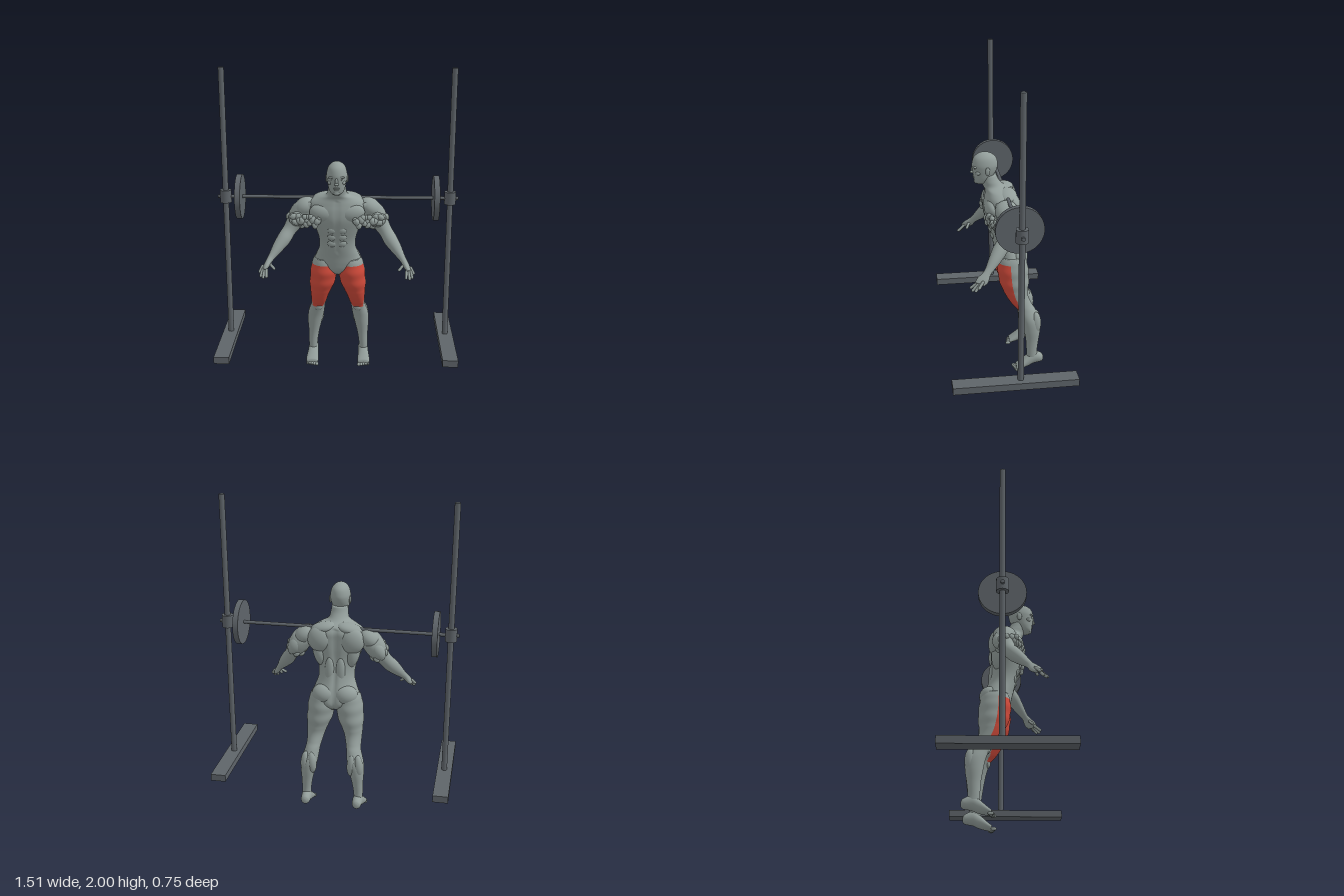
import * as THREE from 'three';

const V = (x, y, z) => new THREE.Vector3(x, y, z);

export function createModel() {
  const mat = (name, color) => Object.assign(new THREE.MeshStandardMaterial({ color }), { name });
  const skin = mat('greySkin', 0x939e9b);
  const red = mat('redMuscle', 0xd04a3a);
  const steel = mat('darkSteel', 0x5e6469);

  const model = new THREE.Group();
  model.name = 'squatMachine';

  const add = (parent, name, geo, material, pos = [0, 0, 0]) => {
    const m = new THREE.Mesh(geo, material);
    m.name = name;
    m.position.set(...pos);
    parent.add(m);
    return m;
  };
  const group = (parent, name) => {
    const g = new THREE.Group();
    g.name = name;
    parent.add(g);
    return g;
  };
  const ball = (parent, name, pos, size, seg = 20, rotZ = 0) => {
    const m = add(parent, name, new THREE.SphereGeometry(1, seg, Math.ceil(seg * 0.7)), skin, pos);
    m.scale.set(...size);
    m.rotation.z = rotZ;
    return m;
  };

  // Smooth skin through rows [x, y, z, ru, rv]; rows run along u x v.
  // bump(angle, centre) scales the radius, accent(angle, centre) picks material 1.
  const loft = (rows, u, v, { steps = 50, seg = 36, bump = () => 1, accent = () => false } = {}) => {
    const path = new THREE.CatmullRomCurve3(rows.map(r => V(r[0], r[1], r[2])), false, 'catmullrom');
    const size = new THREE.CatmullRomCurve3(rows.map(r => V(r[3], r[4], 0)), false, 'catmullrom');
    const pos = [], plain = [], marked = [];
    for (let i = 0; i <= steps; i++) {
      const c = path.getPoint(i / steps), s = size.getPoint(i / steps);
      for (let j = 0; j < seg; j++) {
        const a = (j / seg) * Math.PI * 2, k = bump(a, c);
        const p = c.clone().addScaledVector(u, Math.max(s.x, 0.002) * k * Math.cos(a))
          .addScaledVector(v, Math.max(s.y, 0.002) * k * Math.sin(a));
        pos.push(p.x, p.y, p.z);
        if (i === steps) continue;
        const n = (j + 1) % seg, A = i * seg + j, B = i * seg + n;
        const mid = path.getPoint((i + 0.5) / steps);
        (accent(a + Math.PI / seg, mid) ? marked : plain).push(A, B, A + seg, B, B + seg, A + seg);
      }
    }
    // end caps
    const first = path.getPoint(0), last = path.getPoint(1), k = pos.length / 3;
    pos.push(first.x, first.y, first.z, last.x, last.y, last.z);
    for (let j = 0; j < seg; j++) {
      const n = (j + 1) % seg, e = steps * seg;
      plain.push(k, n, j, k + 1, e + j, e + n);
    }
    const g = new THREE.BufferGeometry();
    g.setAttribute('position', new THREE.Float32BufferAttribute(pos, 3));
    g.setIndex([...plain, ...marked]);
    g.addGroup(0, plain.length, 0);
    g.addGroup(plain.length, marked.length, 1);
    g.computeVertexNormals();
    return g;
  };
  const X = V(1, 0, 0), Y = V(0, 1, 0), Z = V(0, 0, 1);
  const central = rows => rows.map(([y, z, rx, rz]) => [0, y, z, rx, rz]);

  // Machine frame
  const frame = group(model, 'machineFrame');
  const cyl = (r, h, seg = 32) => new THREE.CylinderGeometry(r, r, h, seg);
  for (const s of [1, -1]) {
    add(frame, 'baseBeam', new THREE.BoxGeometry(0.096, 0.044, 0.75), steel, [s * 0.707, 0.248, 0]);
    add(frame, 'post', cyl(0.018, 1.74, 24), steel, [s * 0.705, 1.13, -0.03]);
    add(frame, 'slidingCollar', cyl(0.036, 0.08), steel, [s * 0.705, 1.195, -0.03]);
    add(frame, 'weightPlate', cyl(0.14, 0.034, 56), steel, [s * 0.615, 1.193, -0.03]).rotation.z = Math.PI / 2;
  }
  add(frame, 'bar', cyl(0.011, 1.51, 20), steel, [0, 1.193, -0.03]).rotation.z = Math.PI / 2;

  // Torso and neck, with grooves along the spine and the belly
  const figure = group(model, 'figure');
  const dip = (a, at, w) => Math.exp(-(((a - at) / w) ** 2));
  add(figure, 'torso', loft(central([
    [1.31, 0.075, 0.05, 0.05], [1.27, 0.062, 0.056, 0.055], [1.235, 0.04, 0.068, 0.066],
    [1.21, 0.01, 0.125, 0.085], [1.175, 0, 0.175, 0.1], [1.13, 0.003, 0.185, 0.105],
    [1.07, 0.003, 0.165, 0.105], [1.0, -0.005, 0.137, 0.094], [0.93, -0.02, 0.117, 0.086],
    [0.87, -0.035, 0.116, 0.087], [0.81, -0.055, 0.137, 0.09], [0.76, -0.068, 0.153, 0.093],
    [0.715, -0.075, 0.12, 0.088], [0.68, -0.075, 0.05, 0.06]]), X, Z, {
    steps: 60, seg: 64,
    bump: (a, c) => c.y > 1.2 ? 1 : 1 - 0.13 * dip(a, Math.PI * 1.5, 0.13) - (c.y > 0.84 ? 0.05 * dip(a, Math.PI / 2, 0.07) : 0)
  }), skin);

  // Head and face
  const head = group(figure, 'head');
  add(head, 'skull', loft(central([
    [1.452, 0.095, 0.004, 0.004], [1.445, 0.095, 0.028, 0.037], [1.42, 0.094, 0.052, 0.068],
    [1.38, 0.094, 0.063, 0.08], [1.35, 0.095, 0.062, 0.077], [1.32, 0.1, 0.057, 0.069],
    [1.29, 0.108, 0.05, 0.056], [1.265, 0.116, 0.038, 0.042], [1.25, 0.12, 0.018, 0.022]]), X, Z, { steps: 40 }), skin);
  ball(head, 'noseBridge', [0, 1.347, 0.167], [0.009, 0.023, 0.012]);
  ball(head, 'noseTip', [0, 1.328, 0.174], [0.013, 0.009, 0.012]);
  ball(head, 'upperLip', [0, 1.301, 0.162], [0.019, 0.005, 0.008]);
  ball(head, 'lowerLip', [0, 1.292, 0.16], [0.016, 0.005, 0.008]);
  ball(head, 'chin', [0, 1.268, 0.147], [0.022, 0.016, 0.016]);

  // Paired parts, modelled on the left and mirrored
  const buildSide = side => {
    ball(side, 'brow', [0.026, 1.368, 0.157], [0.024, 0.008, 0.012], 20, -0.1);
    ball(side, 'eye', [0.025, 1.353, 0.158], [0.012, 0.006, 0.008]);
    ball(side, 'cheekbone', [0.038, 1.331, 0.137], [0.018, 0.014, 0.018]);
    ball(side, 'ear', [0.063, 1.345, 0.083], [0.008, 0.026, 0.015]);

    // Torso muscles
    ball(side, 'pectoral', [0.083, 1.115, 0.062], [0.09, 0.06, 0.047], 28, 0.15);
    ball(side, 'trapezius', [0.08, 1.193, -0.035], [0.085, 0.036, 0.06], 28, -0.18);
    ball(side, 'shoulderBlade', [0.1, 1.125, -0.063], [0.08, 0.085, 0.052], 28);
    ball(side, 'latissimus', [0.105, 1.04, -0.045], [0.045, 0.1, 0.05], 28, -0.2);
    ball(side, 'lowerBack', [0.035, 0.92, -0.09], [0.03, 0.1, 0.022], 24);
    ball(side, 'buttock', [0.07, 0.775, -0.105], [0.076, 0.066, 0.063], 28);
    [1.01, 0.962, 0.914].forEach((y, i) =>
      ball(side, 'abdominal', [0.032, y, 0.078 - i * 0.014], [0.029, 0.025, 0.016]));

    // Arm
    const arm = group(side, 'arm');
    const D = V(0.55, -0.72, 0.42).normalize(), U = V(0.8, 0.6, 0), W = D.clone().cross(U).normalize();
    add(arm, 'armSkin', loft([
      [0.165, 1.145, -0.01, 0.05, 0.06], [0.21, 1.12, -0.015, 0.066, 0.073], [0.245, 1.075, -0.015, 0.066, 0.07],
      [0.275, 1.03, -0.005, 0.052, 0.055], [0.305, 0.985, 0.012, 0.043, 0.045], [0.335, 0.94, 0.045, 0.044, 0.045],
      [0.37, 0.895, 0.08, 0.036, 0.037], [0.402, 0.852, 0.115, 0.024, 0.026], [0.418, 0.83, 0.135, 0.02, 0.024],
      [0.437, 0.8, 0.16, 0.018, 0.035], [0.45, 0.78, 0.18, 0.012, 0.03]], U, W), skin);
    ball(arm, 'deltoid', [0.205, 1.135, -0.015], [0.075, 0.058, 0.072], 28, -0.6);
    ball(arm, 'biceps', [0.25, 1.07, 0.03], [0.042, 0.055, 0.035], 24, 0.5);
    ball(arm, 'triceps', [0.265, 1.065, -0.05], [0.042, 0.06, 0.04], 24, 0.5);

    // Knotted muscle around the upper arm and armpit
    let seed = 7;
    const rnd = () => (seed = (seed * 16807) % 2147483647) / 2147483647;
    for (let i = 0; i < 26; i++) {
      const t = i / 25, r = 0.011 + rnd() * 0.009;
      ball(arm, 'muscleKnot', [0.11 + t * 0.17, 1.04 + rnd() * 0.055, 0.095 - t * 0.055 + rnd() * 0.015],
        [r * 1.3, r, r], 10, rnd() * 3);
    }
    for (let i = 0; i < 9; i++) {
      const a = (i / 9) * Math.PI * 2;
      const p = V(0.262, 1.045, -0.005).addScaledVector(U, 0.052 * Math.cos(a)).addScaledVector(W, 0.056 * Math.sin(a));
      ball(arm, 'muscleFold', p.toArray(), [0.02, 0.026, 0.02], 12, 0.6);
    }

    // Fingers
    const fingers = [
      [[0.46, 0.797, 0.162], [0.477, 0.768, 0.185]], [[0.457, 0.785, 0.175], [0.469, 0.747, 0.205]],
      [[0.446, 0.783, 0.185], [0.452, 0.744, 0.222]], [[0.434, 0.786, 0.191], [0.43, 0.752, 0.23]],
      [[0.42, 0.815, 0.155], [0.388, 0.785, 0.175]]];
    for (const [a, b] of fingers) {
      const p = V(...a), q = V(...b), d = q.clone().sub(p);
      const m = add(arm, 'finger', new THREE.CapsuleGeometry(0.009, d.length(), 5, 12), skin, p.clone().add(q).multiplyScalar(0.5).toArray());
      m.quaternion.setFromUnitVectors(Y, d.normalize());
    }

    // Leg with the red front thigh
    const leg = group(side, 'leg');
    add(leg, 'legSkin', loft([
      [0.085, 0.785, -0.07, 0.065, 0.08], [0.088, 0.74, -0.07, 0.081, 0.093], [0.091, 0.68, -0.072, 0.087, 0.098],
      [0.103, 0.6, -0.08, 0.08, 0.092], [0.118, 0.52, -0.095, 0.06, 0.071], [0.126, 0.46, -0.125, 0.05, 0.062],
      [0.133, 0.42, -0.155, 0.047, 0.057], [0.148, 0.35, -0.183, 0.053, 0.06], [0.158, 0.28, -0.19, 0.047, 0.053],
      [0.165, 0.2, -0.19, 0.035, 0.041], [0.17, 0.12, -0.188, 0.029, 0.035], [0.17, 0.07, -0.195, 0.03, 0.04]], X, Z, {
      steps: 100, seg: 56,
      bump: (a, c) => 1 + (c.y > 0.55 ? 0.018 * Math.sin(c.y * 75) : 0),
      accent: (a, c) => c.y < 0.745 && c.y > 0.42 && Math.sin(a) > 0.2 + Math.max(0, 0.5 - c.y) * 6
    }), [skin, red]);
    ball(leg, 'kneecap', [0.13, 0.415, -0.118], [0.026, 0.03, 0.022]);
    for (const s of [1, -1]) ball(leg, 'calf', [0.15 + s * 0.022, 0.335, -0.212], [0.03, 0.075, 0.034], 20, s * 0.06);

    // Foot
    add(leg, 'foot', loft([
      [0.168, 0.073, -0.264, 0.01, 0.012], [0.168, 0.075, -0.25, 0.027, 0.03], [0.168, 0.08, -0.2, 0.033, 0.045],
      [0.171, 0.06, -0.16, 0.035, 0.042], [0.173, 0.035, -0.115, 0.041, 0.027], [0.173, 0.02, -0.085, 0.039, 0.017]],
      X, Y, { steps: 24, seg: 28 }), skin);
    for (let i = 0; i < 5; i++)
      ball(leg, 'toe', [0.141 + i * 0.016, 0.011, -0.075 - i * 0.004], [0.011 - i * 0.0007, 0.011, 0.018], 12);
  };
  for (const s of [1, -1]) {
    const side = group(figure, s > 0 ? 'leftSide' : 'rightSide');
    buildSide(side);
    side.scale.x = s;
  }
  return model;
}
